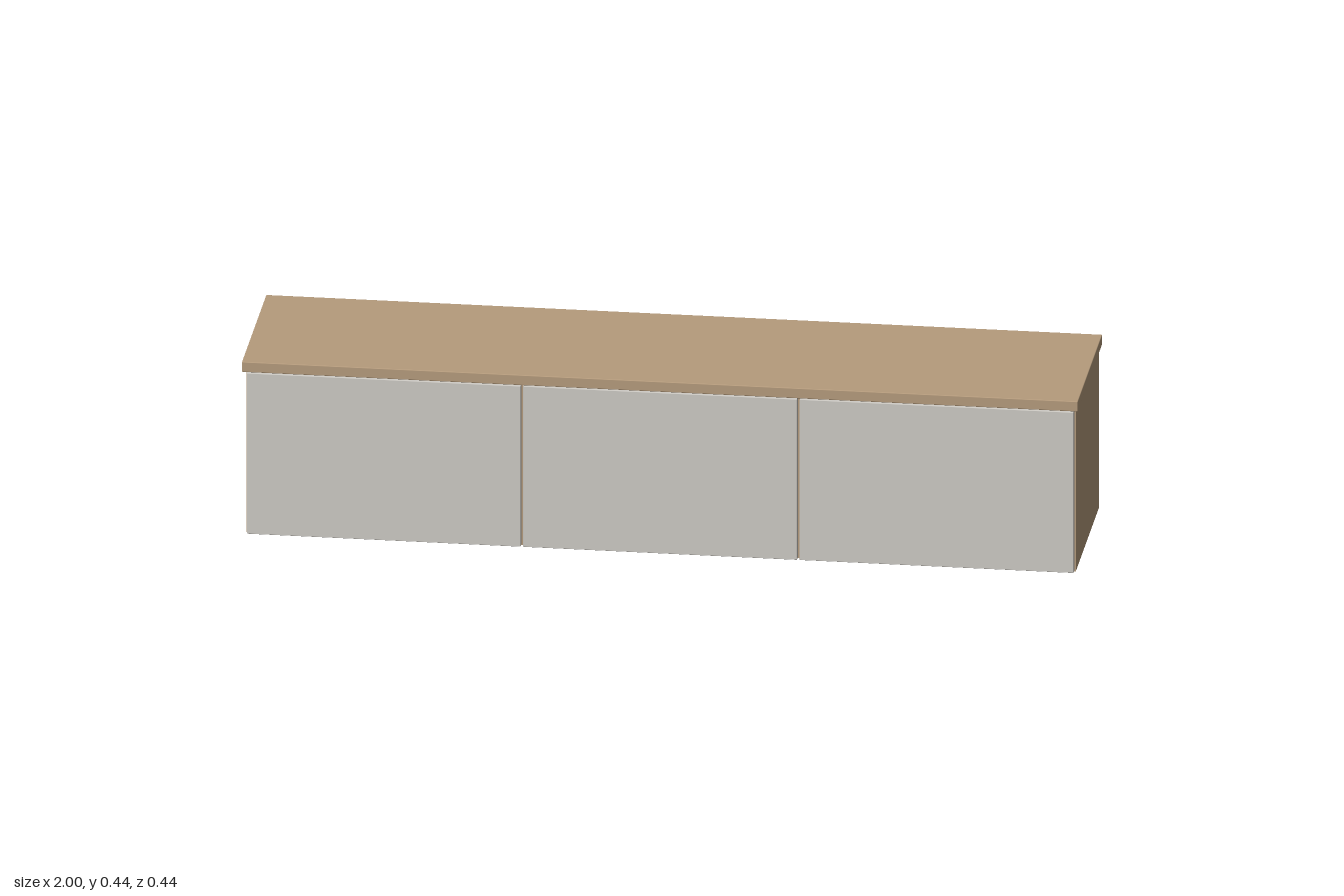
import * as THREE from 'three';
import { RoundedBoxGeometry } from 'three/addons/geometries/RoundedBoxGeometry.js';

const wood = new THREE.MeshStandardMaterial({ color: 0xb59b7c });
const paint = new THREE.MeshStandardMaterial({ color: 0xcdcac4 });

// Board spanning two corners; a radius softens its edges
function board(name, [x0, y0, z0], [x1, y1, z1], material, radius = 0) {
  const size = [x1 - x0, y1 - y0, z1 - z0];
  const geometry = radius
    ? new RoundedBoxGeometry(...size, 2, radius)
    : new THREE.BoxGeometry(...size);
  const mesh = new THREE.Mesh(geometry, material);
  mesh.name = name;
  mesh.position.set((x0 + x1) / 2, (y0 + y1) / 2, (z0 + z1) / 2);
  return mesh;
}

export function createModel() {
  const model = new THREE.Group();
  model.name = 'lowCabinet';

  const W = 0.992, H = 0.415, T = 0.018; // carcass half width, height, board thickness
  const back = -0.222, front = 0.197;
  const inner = W - T;

  // Carcass: sides, bottom, top rail board and a slightly recessed back
  const carcass = new THREE.Group();
  carcass.name = 'carcass';
  carcass.add(
    board('rightSide', [-W, 0, back], [-inner, H, front], wood),
    board('leftSide', [inner, 0, back], [W, H, front], wood),
    board('bottomPanel', [-inner, 0, back], [inner, T, front], wood),
    board('upperPanel', [-inner, H - T, back], [inner, H, front], wood),
    board('backPanel', [-inner, T, back + 0.005], [inner, H - T, back + 0.013], wood),
  );

  // Dividers behind the door joints
  for (const x of [-W / 3, W / 3]) {
    carcass.add(board('divider', [x - T / 2, T, back + 0.013], [x + T / 2, H - T, front], wood));
  }
  model.add(carcass);

  // Three equal doors with narrow gaps
  const pitch = (2 * W) / 3, gap = 0.003;
  for (let i = 0; i < 3; i++) {
    const x = -W + i * pitch;
    model.add(board('door', [x + gap, 0.003, 0.199], [x + pitch - gap, 0.412, 0.217], paint, 0.0015));
  }

  // Overhanging worktop
  model.add(board('worktop', [-1, 0.416, back], [1, 0.442, 0.222], wood, 0.002));

  return model;
}
